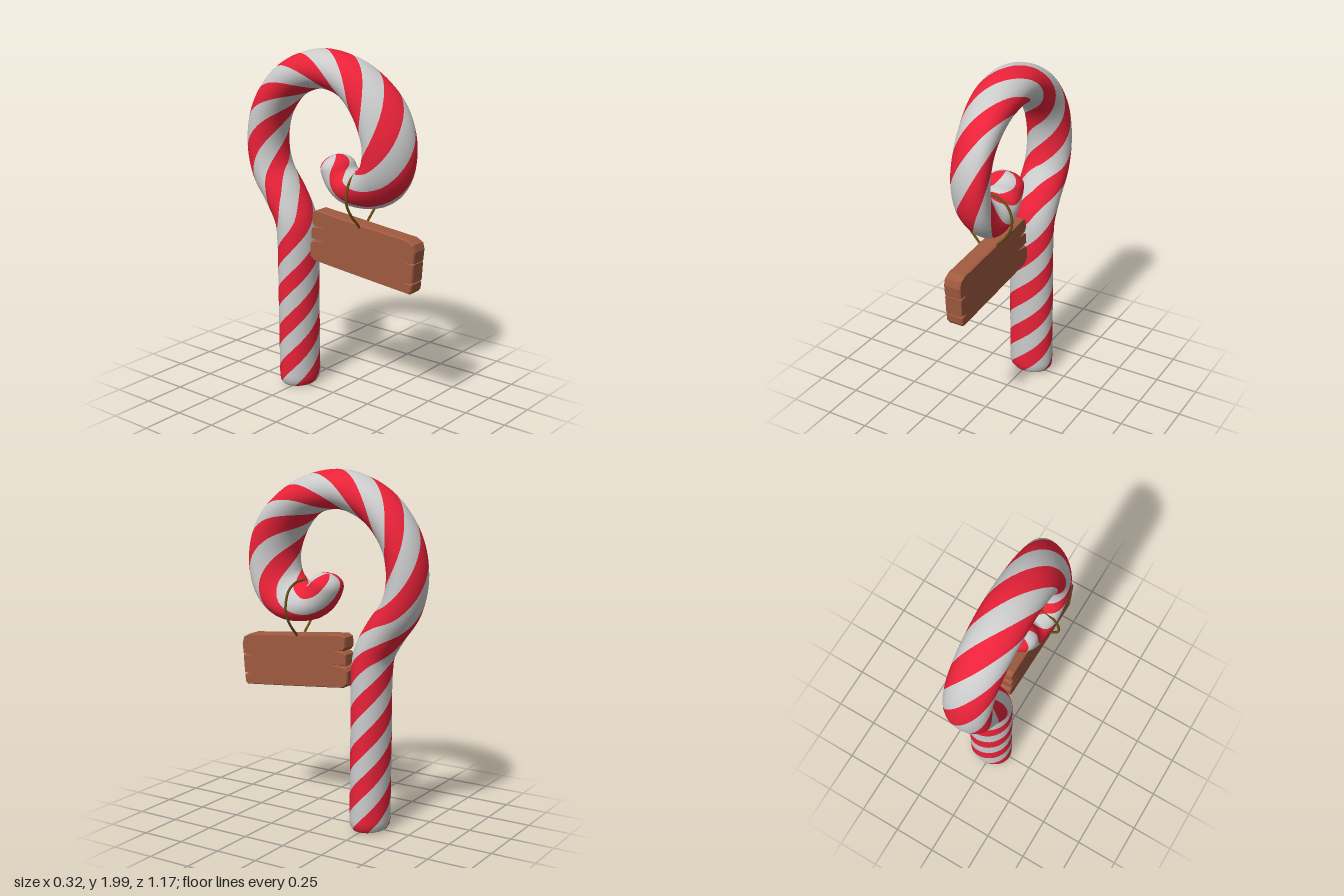
import * as THREE from 'three';

const paint = (color) => new THREE.MeshStandardMaterial({ color });
const { smoothstep } = THREE.MathUtils;

// Centre line of the cane as [z, y], from the foot to the curled tip
const CANE_PATH = [
  [-0.262, 0.005], [-0.262, 0.3], [-0.262, 0.6], [-0.262, 0.88], [-0.277, 1.01], [-0.345, 1.135],
  [-0.44, 1.275], [-0.473, 1.44], [-0.437, 1.62], [-0.325, 1.775], [-0.19, 1.857], [-0.04, 1.888],
  [0.15, 1.843], [0.3, 1.715], [0.367, 1.585], [0.381, 1.465], [0.352, 1.35], [0.275, 1.273],
  [0.185, 1.252], [0.11, 1.263], [0.05, 1.32], [0.018, 1.425],
];
const STRIPES = 6;          // three red and three pale
const PER_STRIPE = 7;       // facets across one stripe

function buildCane() {
  const curve = new THREE.CatmullRomCurve3(
    CANE_PATH.map(([z, y]) => new THREE.Vector3(0.018 - 0.011 * y, y, z)), false, 'centripetal');
  curve.arcLengthDivisions = 800;
  const length = curve.getLength();
  const tip = 0.075;

  // Rows: distance along the path and size of the section there
  const rows = [[0, 0.01], [0, 0.62], [0.01, 0.86], [0.028, 0.96], [0.055, 1]];
  const steps = 130;
  for (let i = 1; i <= steps; i++) {
    const s = 0.055 + (length - tip - 0.055) * i / steps;
    rows.push([s, 1 - 0.16 * smoothstep(s, length - 0.35, length - tip)]);
  }
  for (let i = 1; i <= 9; i++) {
    const a = (i / 9) * Math.PI / 2;
    rows.push([length - tip + tip * Math.sin(a), 0.84 * Math.max(Math.cos(a), 0.01)]);
  }

  // Stripes wind tightly up the pole and more slowly round the hook;
  // one red stripe is centred on the outside of the hook near its top
  const turns = (s) => Math.min(s, 1) / 0.72 + Math.max(0, s - 1) / 1.04;
  const phase = 0.5 - turns(2.26) - 0.5 / STRIPES;

  // Oval sections turned along the path so the stripes follow the grid
  const n = STRIPES * PER_STRIPE;
  const positions = [];
  for (const [s, size] of rows) {
    const u = Math.min(s / length, 1);
    const p = curve.getPointAt(u), t = curve.getTangentAt(u);
    const inPlane = new THREE.Vector3(0, -t.z, t.y).normalize();
    // The front of the hook leans forward on its left side
    const skew = -0.38 * smoothstep(s, 2.25, 2.7) * (1 - smoothstep(s, 3.0, 3.3));
    for (let j = 0; j < n; j++) {
      const a = 2 * Math.PI * (phase + turns(s) + j / n);
      const across = 0.133 * size * Math.sin(a);
      const v = p.clone().addScaledVector(inPlane, 0.108 * size * Math.cos(a) + skew * across);
      positions.push(v.x + across, v.y, v.z);
    }
  }

  const red = [], pale = [];
  for (let i = 0; i < rows.length - 1; i++) {
    for (let j = 0; j < n; j++) {
      const k = (j + 1) % n;
      const a = i * n + j, b = i * n + k, c = a + n, d = b + n;
      const isRed = i > 1 && Math.floor(j / PER_STRIPE) % 2 === 0;
      (isRed ? red : pale).push(a, b, c, b, d, c);
    }
  }

  // Normals come from the whole surface, then the stripes share them
  const whole = new THREE.BufferGeometry();
  whole.setAttribute('position', new THREE.Float32BufferAttribute(positions, 3));
  whole.setIndex([...red, ...pale]);
  whole.computeVertexNormals();
  const cane = new THREE.Group();
  cane.name = 'cane';
  for (const [name, index, color] of [['redStripes', red, 0xea2239], ['paleStripes', pale, 0xcccccc]]) {
    const geometry = new THREE.BufferGeometry();
    geometry.setAttribute('position', whole.getAttribute('position'));
    geometry.setAttribute('normal', whole.getAttribute('normal'));
    geometry.setIndex(index);
    const mesh = new THREE.Mesh(geometry, paint(color));
    mesh.name = name;
    cane.add(mesh);
  }
  return cane;
}

// Weathered plank with split ends; outline as [z, y]
function buildSign() {
  const outline = [
    [0.55, 0.745], [0.3, 0.767], [0.0, 0.795], [-0.1, 0.805], [-0.125, 0.825], [-0.128, 0.895],
    [-0.115, 0.908], [-0.02, 0.925], [-0.118, 0.932], [-0.116, 0.985], [-0.1, 0.995], [-0.03, 1.003],
    [-0.1, 1.012], [-0.112, 1.03], [-0.108, 1.08], [-0.085, 1.093], [0.0, 1.085], [0.3, 1.056],
    [0.53, 1.035], [0.57, 1.015], [0.58, 0.98], [0.574, 0.921], [0.51, 0.915], [0.573, 0.907],
    [0.566, 0.809], [0.515, 0.803], [0.564, 0.793], [0.56, 0.757],
  ];
  const shape = new THREE.Shape(outline.map(([z, y]) => new THREE.Vector2(z, y)));
  const geometry = new THREE.ExtrudeGeometry(shape, {
    depth: 0.08, bevelEnabled: true, bevelThickness: 0.01, bevelSize: 0.005, bevelSegments: 1,
  });
  geometry.translate(0, 0, -0.04).rotateY(-Math.PI / 2).translate(0.005, 0, 0);
  const sign = new THREE.Mesh(geometry, paint(0xa05a3f));
  sign.name = 'woodenSign';
  return sign;
}

// Cord looped over the curl, both ends sunk into the plank
function buildCord() {
  const half = [[0.025, 1.035], [0.06, 1.075], [0.11, 1.13], [0.147, 1.2], [0.148, 1.26], [0.12, 1.325], [0.06, 1.36]];
  const point = (side) => ([x, y]) => new THREE.Vector3(side * x, y, 0.21 - side * 0.06 * Math.max(0, 1.2 - y));
  const path = new THREE.CatmullRomCurve3([
    ...half.map(point(1)), new THREE.Vector3(0, 1.368, 0.21), ...half.map(point(-1)).reverse(),
  ]);
  const cord = new THREE.Mesh(new THREE.TubeGeometry(path, 60, 0.007, 8), paint(0x6b5014));
  cord.name = 'hangingCord';
  return cord;
}

export function createModel() {
  const model = new THREE.Group();
  model.name = 'candyCaneSign';
  model.add(buildCane(), buildSign(), buildCord());
  return model;
}
